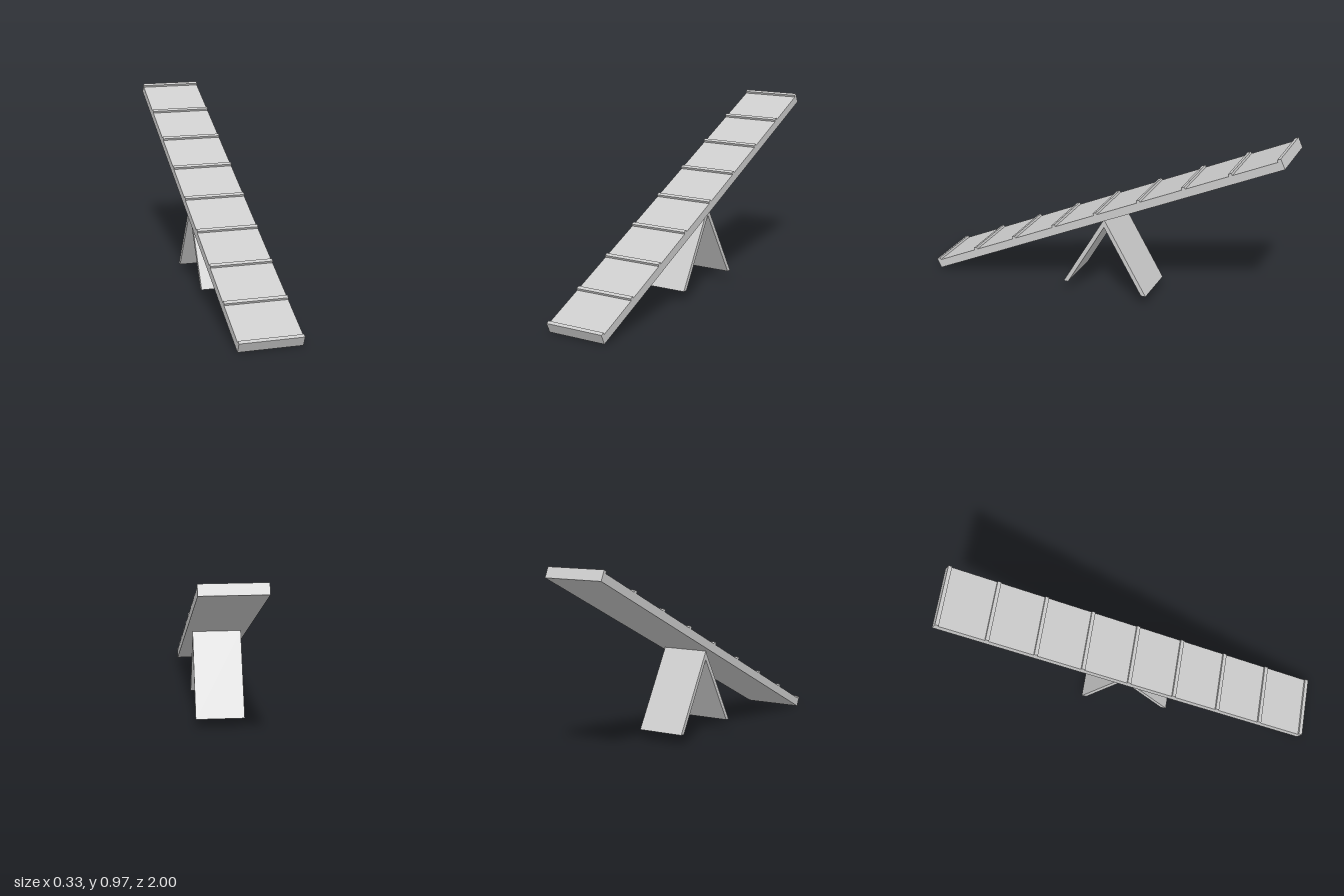
import * as THREE from 'three';

const material = new THREE.MeshStandardMaterial({ color: 0xcccccc, flatShading: true });

function addBox(parent, name, size, position) {
  const mesh = new THREE.Mesh(new THREE.BoxGeometry(...size), material);
  mesh.name = name;
  mesh.position.set(...position);
  parent.add(mesh);
  return mesh;
}

export function createModel() {
  const model = new THREE.Group();
  model.name = 'seesawRamp';

  // Tilted ramp: plank with cross slats flush to both ends
  const length = 2.18, thickness = 0.045, width = 0.33;
  const slatWidth = 0.02, slatHeight = 0.012, slatCount = 9;
  const ramp = new THREE.Group();
  ramp.name = 'ramp';
  addBox(ramp, 'plank', [width, thickness, length], [0, 0, 0]);
  for (let i = 0; i < slatCount; i++) {
    const z = (i / (slatCount - 1) - 0.5) * (length - slatWidth);
    addBox(ramp, 'slat' + (i + 1), [width, slatHeight, slatWidth], [0, (thickness + slatHeight) / 2, z]);
  }
  ramp.rotation.x = THREE.MathUtils.degToRad(25);
  ramp.position.set(0, 0.481, -0.003);
  model.add(ramp);

  // A-frame stand: two leaning panels meeting at a ridge, feet cut level
  const legWidth = 0.26, apexY = 0.467, footY = 0.054, spread = 0.243, cut = 0.027;
  const innerApexY = apexY - cut * (apexY - footY) / spread;
  const stand = new THREE.Group();
  stand.name = 'stand';
  for (const side of [1, -1]) {
    const profile = new THREE.Shape([
      new THREE.Vector2(0, apexY),
      new THREE.Vector2(0, innerApexY),
      new THREE.Vector2(side * (spread - cut), footY),
      new THREE.Vector2(side * spread, footY),
    ]);
    const geometry = new THREE.ExtrudeGeometry(profile, { depth: legWidth, bevelEnabled: false });
    geometry.translate(0, 0, -legWidth / 2);
    geometry.rotateY(-Math.PI / 2); // profile x becomes model z
    const leg = new THREE.Mesh(geometry, material);
    leg.name = side > 0 ? 'frontLeg' : 'backLeg';
    stand.add(leg);
  }
  stand.position.z = -0.029;
  model.add(stand);

  return model;
}
